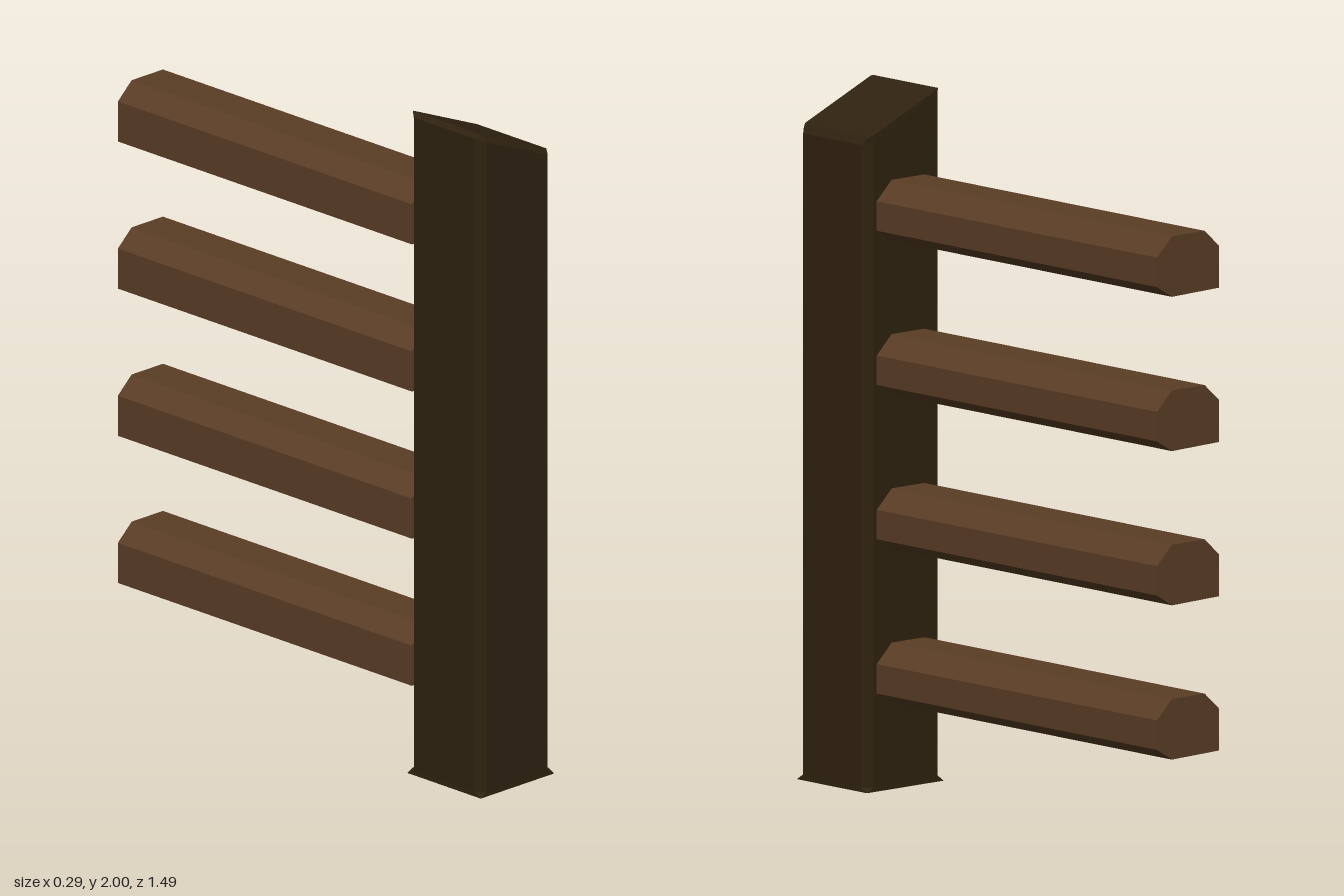
import * as THREE from 'three';

const post = new THREE.MeshStandardMaterial({ color: 0x2f2210 });
post.name = 'dark post wood';
const log = new THREE.MeshStandardMaterial({ color: 0x5a3d25 });
log.name = 'brown log wood';

// Ring of eight points: a square with chamfered corners, y given by a rule
function ring(half, back, front, c, yAt) {
  return [
    [-half + c, front], [half - c, front], [half, front - c], [half, back + c],
    [half - c, back], [-half + c, back], [-half, back + c], [-half, front - c],
  ].map(([x, z]) => new THREE.Vector3(x, yAt(x), z));
}

// Flat-faced skin through a stack of rings, capped at both ends
function loft(rings) {
  const pos = [];
  const tri = (a, b, c) => [a, b, c].forEach((p) => pos.push(p.x, p.y, p.z));
  const n = rings[0].length;
  for (let r = 0; r < rings.length - 1; r++) {
    for (let i = 0; i < n; i++) {
      const j = (i + 1) % n;
      tri(rings[r][i], rings[r][j], rings[r + 1][j]);
      tri(rings[r][i], rings[r + 1][j], rings[r + 1][i]);
    }
  }
  const bottom = rings[0], top = rings[rings.length - 1];
  for (let i = 1; i < n - 1; i++) {
    tri(bottom[0], bottom[i + 1], bottom[i]);
    tri(top[0], top[i], top[i + 1]);
  }
  const geo = new THREE.BufferGeometry();
  geo.setAttribute('position', new THREE.Float32BufferAttribute(pos, 3));
  geo.computeVertexNormals();
  return geo;
}

export function createModel() {
  const model = new THREE.Group();
  model.name = 'logRack';

  // Upright post: square foot, chamfered edges, slanted top
  const slope = (drop) => (x) => 1.945 - 0.42 * x - drop;
  const upright = new THREE.Mesh(loft([
    ring(0.147, 0.448, 0.745, 0.001, () => 0),
    ring(0.146, 0.449, 0.744, 0.025, () => 0.012),
    ring(0.146, 0.449, 0.744, 0.025, slope(0.018)),
    ring(0.13, 0.45, 0.733, 0.004, slope(0)),
  ]), post);
  upright.name = 'post';
  model.add(upright);

  // Four hewn logs running back from the post
  const section = new THREE.Shape([
    [0.06, 0], [0.117, 0.035], [0.117, 0.12], [0.06, 0.175],
    [-0.065, 0.175], [-0.12, 0.125], [-0.12, 0.004],
  ].map(([x, y]) => new THREE.Vector2(x, y)));
  const logGeo = new THREE.ExtrudeGeometry(section, { depth: 1.185, bevelEnabled: false });
  for (let i = 0; i < 4; i++) {
    const beam = new THREE.Mesh(logGeo, log);
    beam.name = 'log' + (i + 1);
    beam.position.set(0, 0.25 + i * 0.445, -0.745);
    model.add(beam);
  }
  return model;
}
